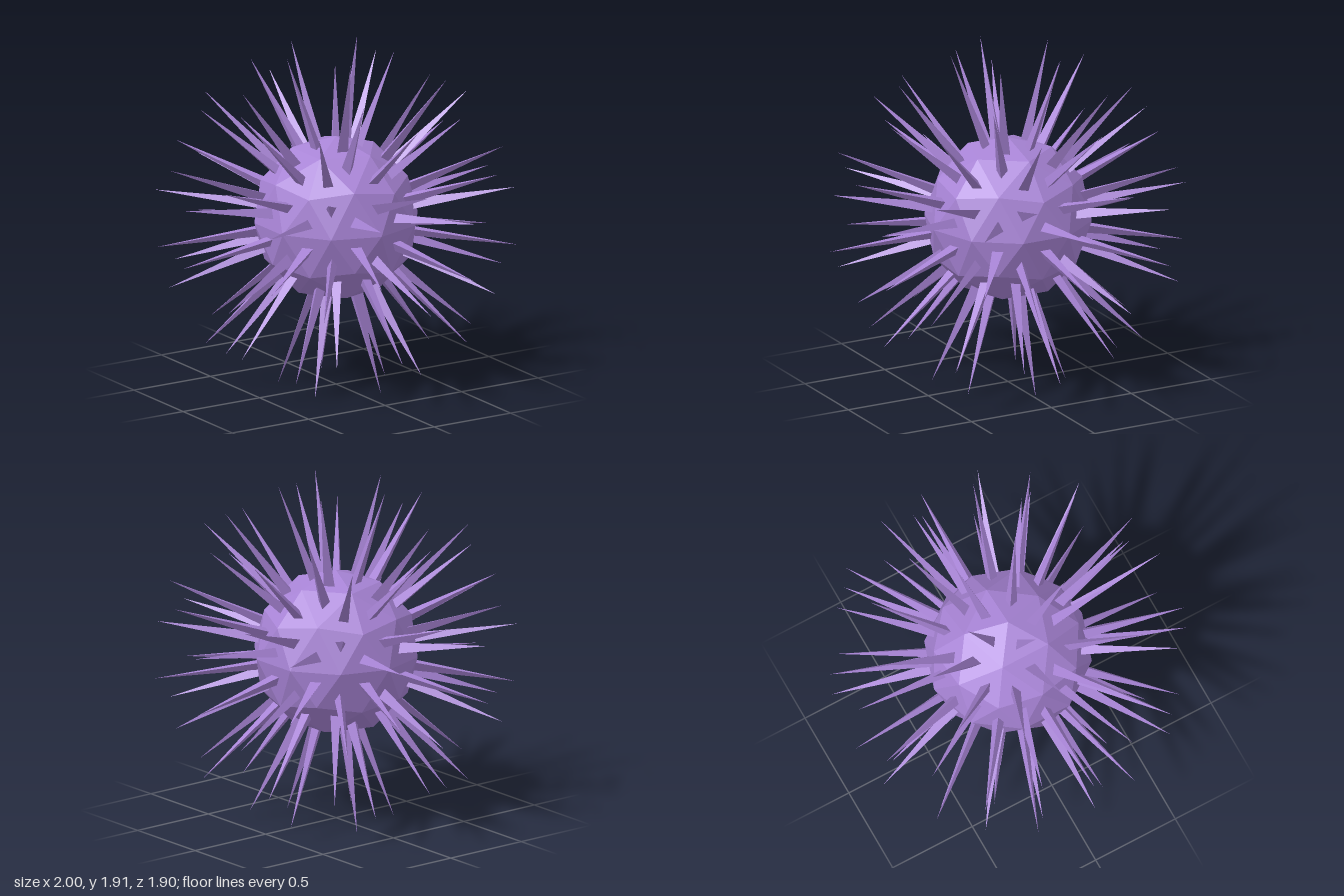
import * as THREE from 'three';

const BODY_RADIUS = 0.465;
const SPIKE_LENGTH = 0.571;
const SPIKE_BASE = 0.22; // share of each body face covered by its spike
const CENTRE_Y = 0.9575;

// Three-sided spike standing on a body face, along the face normal
function spikeGeometry(face) {
  const centre = face.getMidpoint(new THREE.Vector3());
  const normal = face.getNormal(new THREE.Vector3());
  const base = [face.a, face.b, face.c].map((v) => centre.clone().lerp(v, SPIKE_BASE));
  const tip = centre.clone().addScaledVector(normal, SPIKE_LENGTH);
  const points = [];
  for (let i = 0; i < 3; i++) points.push(base[i], base[(i + 1) % 3], tip);
  const geometry = new THREE.BufferGeometry().setFromPoints(points);
  geometry.computeVertexNormals();
  return geometry;
}

export function createModel() {
  const model = new THREE.Group();
  model.name = 'spikyBall';
  const material = new THREE.MeshStandardMaterial({ color: 0xa884d6, flatShading: true });

  // Faceted body, turned so that one corner points straight up
  const bodyGeometry = new THREE.IcosahedronGeometry(BODY_RADIUS, 1);
  bodyGeometry.rotateZ(-Math.atan(2 / (1 + Math.sqrt(5))));
  const body = new THREE.Mesh(bodyGeometry, material);
  body.name = 'body';
  model.add(body);

  // One spike on every face of the body
  const spikes = new THREE.Group();
  spikes.name = 'spikes';
  const position = bodyGeometry.attributes.position;
  const corner = (i) => new THREE.Vector3().fromBufferAttribute(position, i);
  for (let i = 0; i < position.count; i += 3) {
    const face = new THREE.Triangle(corner(i), corner(i + 1), corner(i + 2));
    const spike = new THREE.Mesh(spikeGeometry(face), material);
    spike.name = 'spike';
    spikes.add(spike);
  }
  model.add(spikes);

  body.position.y = spikes.position.y = CENTRE_Y;
  return model;
}
